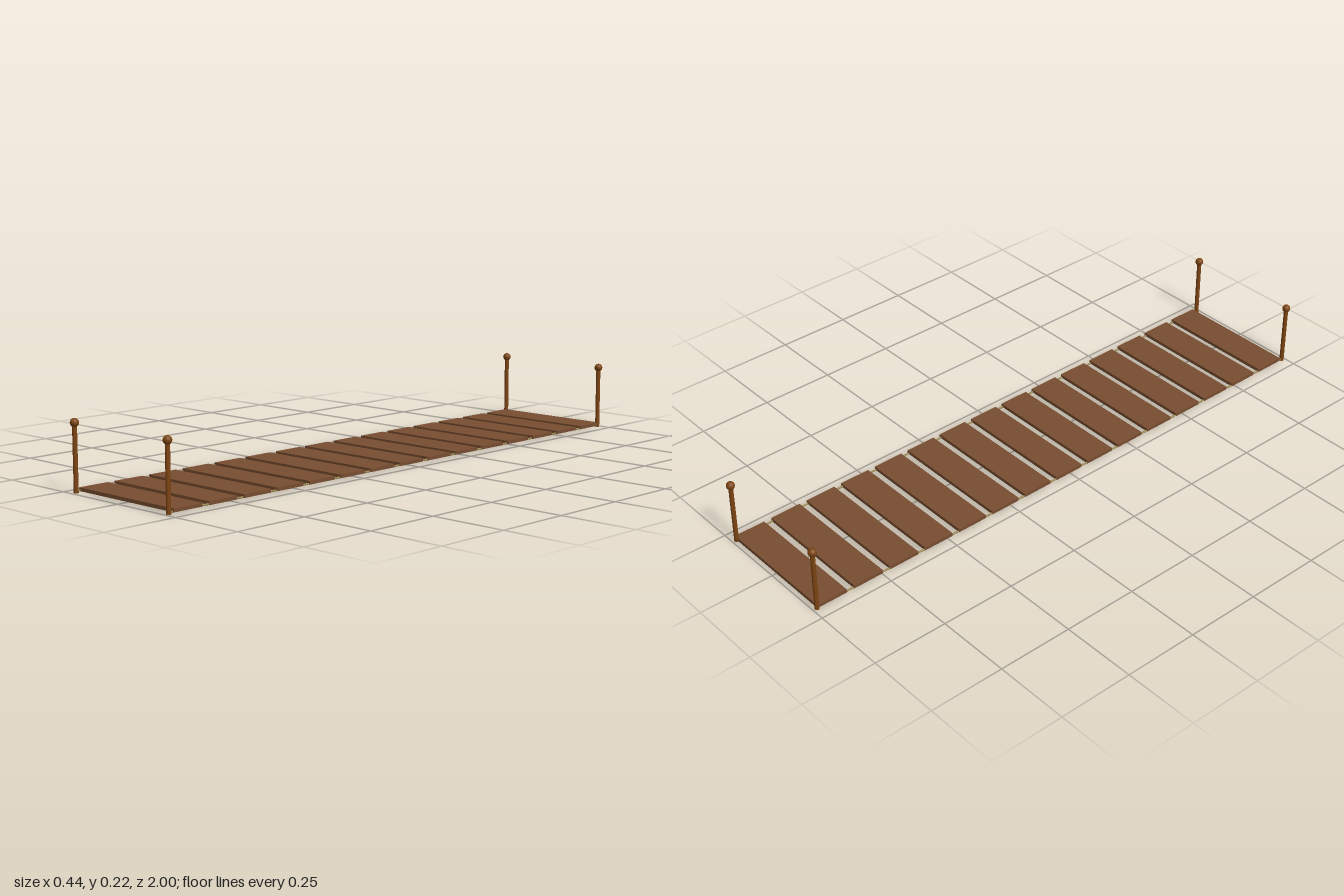
import * as THREE from 'three';

const POST_X = 0.206;
const POST_Z = 0.9865;
const PLANKS = 15;

const plankWood = new THREE.MeshStandardMaterial({ color: 0x784d30 });
plankWood.name = 'plank wood';
const postWood = new THREE.MeshStandardMaterial({ color: 0x7d4512 });
postWood.name = 'post wood';
const ropeFibre = new THREE.MeshStandardMaterial({ color: 0xa08a50 });
ropeFibre.name = 'rope fibre';

function addMesh(parent, name, geometry, material, x, y, z) {
  const mesh = new THREE.Mesh(geometry, material);
  mesh.name = name;
  mesh.position.set(x, y, z);
  parent.add(mesh);
  return mesh;
}

export function createModel() {
  const model = new THREE.Group();
  model.name = 'plankBridge';

  // Evenly spaced deck planks
  const deck = new THREE.Group();
  deck.name = 'deck';
  const plankGeometry = new THREE.BoxGeometry(0.422, 0.011, 0.106);
  for (let i = 0; i < PLANKS; i++) {
    addMesh(deck, 'plank', plankGeometry, plankWood, 0.001, 0.0095, -0.934 + i * 0.1324);
  }
  model.add(deck);

  // Thin ropes that carry the planks along both edges
  const ropeGeometry = new THREE.CylinderGeometry(0.003, 0.003, POST_Z * 2, 8).rotateX(Math.PI / 2);
  for (const side of [-1, 1]) {
    addMesh(model, 'sideRope', ropeGeometry, ropeFibre, side * POST_X, 0.006, 0);
  }

  // Corner posts with ball finials
  const postGeometry = new THREE.CylinderGeometry(0.0073, 0.0073, 0.204, 16);
  const ballGeometry = new THREE.SphereGeometry(0.0135, 20, 14);
  for (const sx of [-1, 1]) {
    for (const sz of [-1, 1]) {
      const post = new THREE.Group();
      post.name = 'cornerPost';
      post.position.set(sx * POST_X, 0, sz * POST_Z);
      addMesh(post, 'postShaft', postGeometry, postWood, 0, 0.102, 0);
      addMesh(post, 'postBall', ballGeometry, postWood, 0, 0.209, 0);
      model.add(post);
    }
  }

  return model;
}
